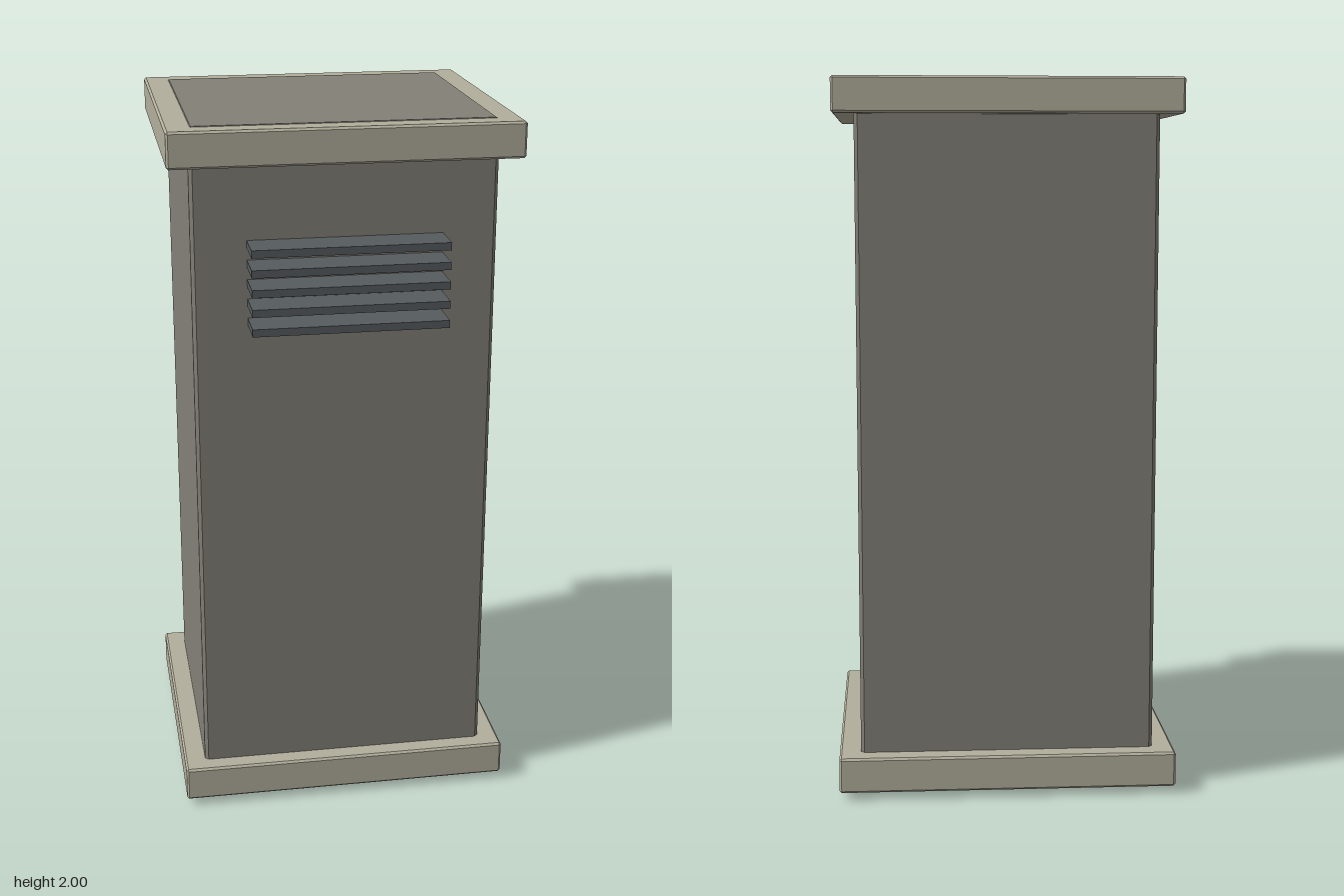
import * as THREE from 'three';
import { ConvexGeometry } from 'three/addons/geometries/ConvexGeometry.js';

// Box between two corners with every edge chamfered by b
function chamferBox(min, max, b) {
  const c = min.map((v, i) => (v + max[i]) / 2);
  const h = max.map((v, i) => (v - min[i]) / 2);
  const points = [];
  for (const sx of [-1, 1]) for (const sy of [-1, 1]) for (const sz of [-1, 1]) {
    // each corner becomes three points, one on each meeting face
    for (let face = 0; face < 3; face++) {
      const p = [sx, sy, sz].map((s, i) => c[i] + s * (h[i] - (i === face ? 0 : b)));
      points.push(new THREE.Vector3(...p));
    }
  }
  return new ConvexGeometry(points);
}

export function createModel() {
  const group = new THREE.Group();
  const material = (name, color) => {
    const m = new THREE.MeshStandardMaterial({ color });
    m.name = name;
    return m;
  };
  const stone = material('grey stone', 0x838077);
  const trim = material('pale trim', 0xb3af9d);
  const metal = material('dark metal', 0x565c5f);

  const add = (name, geometry, mat) => {
    const mesh = new THREE.Mesh(geometry, mat);
    mesh.name = name;
    group.add(mesh);
    return mesh;
  };

  // Main shaft, running from the ground to the top through both collars
  add('shaft', chamferBox([-0.415, 0, -0.408], [0.415, 2, 0.356], 0.01), stone);

  // Collars at the foot and the top; the shaft's top face stays just proud
  add('baseCollar', chamferBox([-0.475, 0.02, -0.463], [0.475, 0.12, 0.408], 0.006), trim);
  add('topCollar', chamferBox([-0.475, 1.9, -0.463], [0.475, 1.998, 0.408], 0.006), trim);

  // Five vent slats standing out from the front
  for (let i = 0; i < 5; i++) {
    const slat = add(`ventSlat${i + 1}`, new THREE.BoxGeometry(0.532, 0.021, 0.116), metal);
    slat.position.set(0, 1.471 + i * 0.0535, 0.405);
  }

  return group;
}
